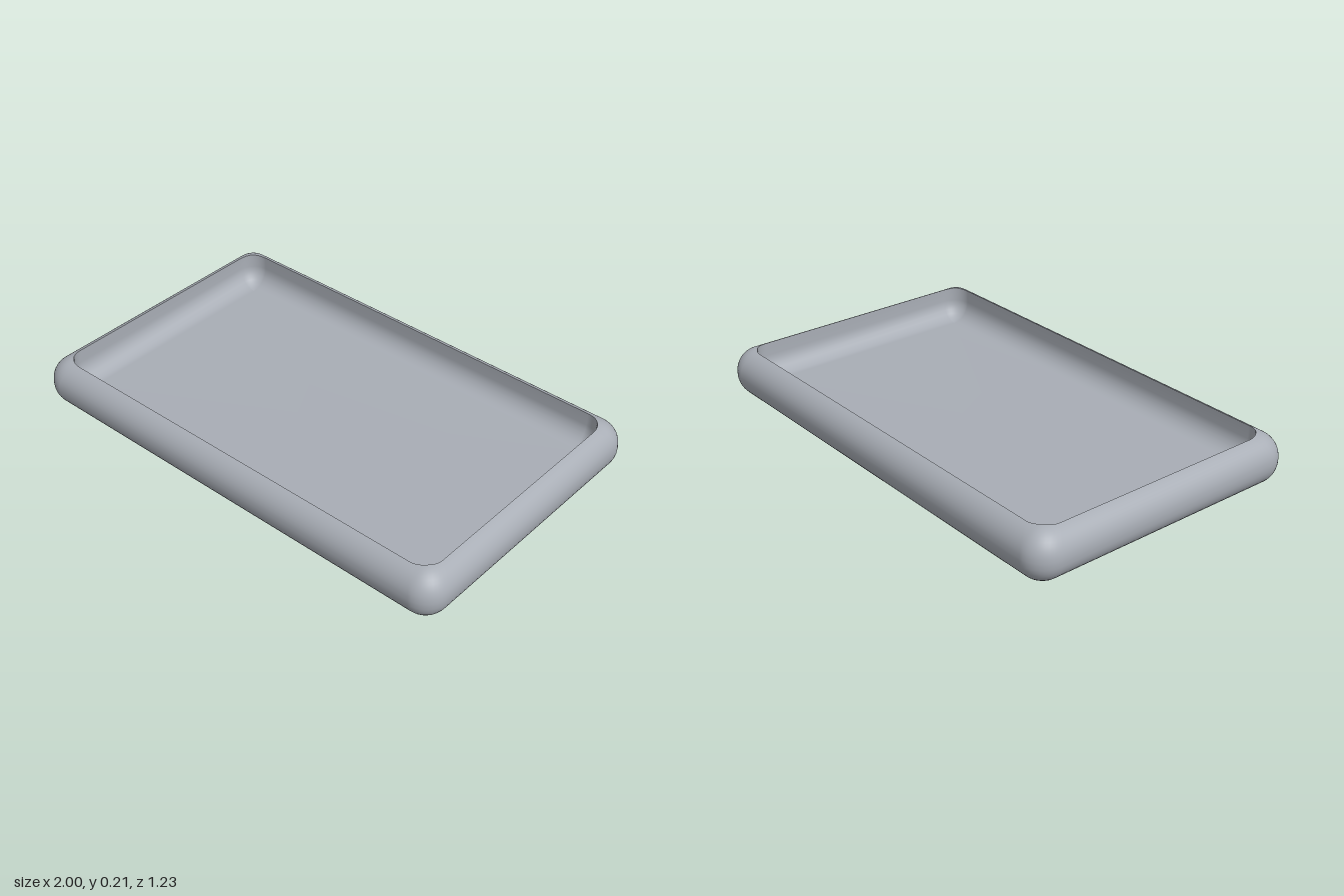
import * as THREE from 'three';

const HALF_X = 1, HALF_Z = 0.615, HEIGHT = 0.21, WALL = 0.07;
const R_OUT = 0.1, R_IN = 0.08, CORNER_STEPS = 10;
const CORE_X = HALF_X - R_OUT, CORE_Z = HALF_Z - R_OUT;

// Rounded rectangle outline as [x, z] pairs, running from +x towards +z
function outline(coreX, coreZ, radius) {
  const points = [];
  for (let q = 0; q < 4; q++) {
    const sx = q === 0 || q === 3 ? 1 : -1;
    const sz = q < 2 ? 1 : -1;
    for (let i = 0; i <= CORNER_STEPS; i++) {
      const a = (q + i / CORNER_STEPS) * Math.PI / 2;
      points.push([sx * coreX + radius * Math.cos(a), sz * coreZ + radius * Math.sin(a)]);
    }
  }
  return points;
}

// Height of the rounded top edge above a point in plan
function topHeight(x, z) {
  const dx = Math.max(Math.abs(x) - CORE_X, 0);
  const dz = Math.max(Math.abs(z) - CORE_Z, 0);
  return HEIGHT - R_OUT + Math.sqrt(Math.max(R_OUT * R_OUT - dx * dx - dz * dz, 0));
}

// Smooth skin through a stack of rings
function skin(rings) {
  const n = rings[0].length, index = [];
  for (let r = 0; r < rings.length - 1; r++) {
    for (let i = 0; i < n; i++) {
      const j = (i + 1) % n;
      const a = r * n + i, b = r * n + j, c = a + n, d = b + n;
      index.push(a, c, b, b, c, d);
    }
  }
  const geometry = new THREE.BufferGeometry();
  geometry.setAttribute('position', new THREE.Float32BufferAttribute(rings.flat(2), 3));
  geometry.setIndex(index);
  geometry.computeVertexNormals();
  return geometry;
}

const atHeight = (points, y) => points.map(([x, z]) => [x, y, z]);

export function createModel() {
  const group = new THREE.Group();
  group.name = 'tray';
  const grey = new THREE.MeshStandardMaterial({ color: 0xa8adb5 });
  grey.name = 'cool grey';

  const innerX = HALF_X - WALL - R_IN, innerZ = HALF_Z - WALL - R_IN;
  const edge = outline(innerX, innerZ, R_IN);
  const equator = outline(CORE_X, CORE_Z, R_OUT);
  const steps = 10;

  // Outer shell: flat underside, rounded sides, rounded rim up to the opening
  const outer = [equator.map(() => [0, 0, 0])];
  for (let i = 0; i <= steps; i++) {
    const t = i / steps * Math.PI / 2;
    outer.push(atHeight(outline(CORE_X, CORE_Z, R_OUT * Math.sin(t)), R_OUT * (1 - Math.cos(t))));
  }
  for (let i = 0; i <= steps; i++) {
    const k = Math.cos(i / steps * Math.PI / 2);
    outer.push(equator.map(([qx, qz], j) => {
      const x = edge[j][0] + (qx - edge[j][0]) * k;
      const z = edge[j][1] + (qz - edge[j][1]) * k;
      return [x, topHeight(x, z), z];
    }));
  }

  // Cavity: straight walls, filleted base and flat floor
  const inner = [edge.map(([x, z]) => [x, topHeight(x, z), z])];
  for (let i = 0; i <= 6; i++) {
    const t = i / 6 * Math.PI / 2;
    inner.push(atHeight(outline(innerX, innerZ, R_IN * Math.cos(t)), WALL + R_IN * (1 - Math.sin(t))));
  }
  inner.push(edge.map(() => [0, WALL, 0]));

  for (const [name, rings] of [['outerShell', outer], ['cavity', inner]]) {
    const mesh = new THREE.Mesh(skin(rings), grey);
    mesh.name = name;
    group.add(mesh);
  }
  return group;
}
